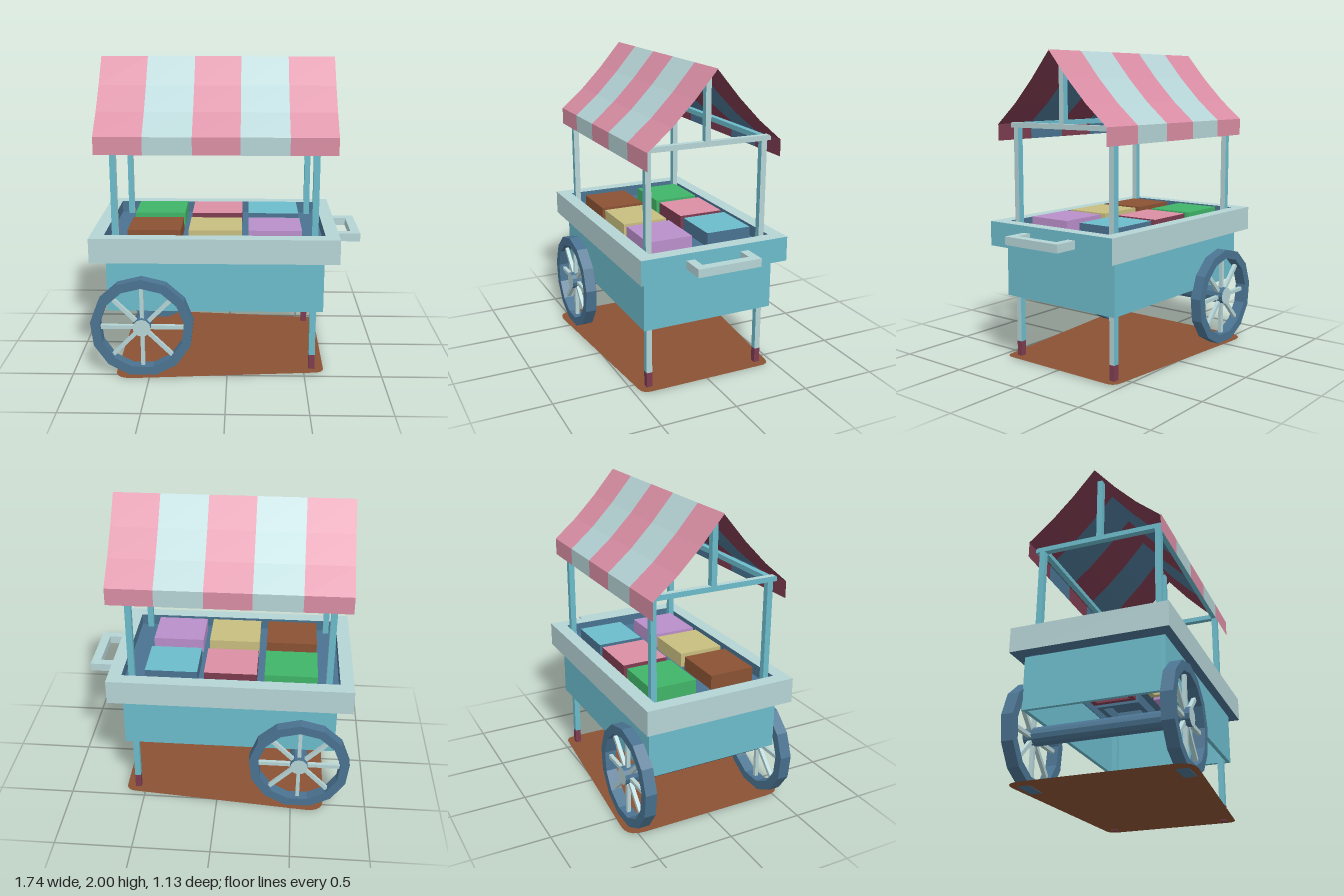
import * as THREE from 'three';

const mat = (name, color, side = THREE.FrontSide) => {
  const m = new THREE.MeshStandardMaterial({ color, side });
  m.name = name;
  return m;
};

export function createModel() {
  const pink = mat('pink', 0xda8ea4), pale = mat('pale aqua', 0xb6d4d6);
  const teal = mat('teal', 0x6cbccc), navy = mat('slate blue', 0x4a7391);
  const brown = mat('brown', 0x8a5233, THREE.DoubleSide), maroon = mat('maroon', 0x7d3c50);
  const green = mat('green', 0x40b568), yellow = mat('straw', 0xc8be80), violet = mat('violet', 0xba8fcb);

  const cart = new THREE.Group();
  cart.name = 'marketCart';
  const ZC = -0.006; // centre line of the cart in z

  const add = (name, geo, material, parent = cart) => {
    const m = new THREE.Mesh(geo, material);
    m.name = name;
    parent.add(m);
    return m;
  };
  // Box given by its limits; material may be an array (+x, -x, +y, -y, +z, -z)
  const box = (name, material, x0, x1, y0, y1, z0, z1, parent) => {
    const m = add(name, new THREE.BoxGeometry(x1 - x0, y1 - y0, z1 - z0), material, parent);
    m.position.set((x0 + x1) / 2, (y0 + y1) / 2, (z0 + z1) / 2);
    return m;
  };

  // Ground plate: tapered outline with rounded corners
  const corners = [[-0.72, 0.572], [0.63, 0.455], [0.63, -0.46], [-0.72, -0.578]].map(c => new THREE.Vector2(...c));
  const radii = [0.12, 0.06, 0.06, 0.12];
  const outline = new THREE.Shape();
  corners.forEach((c, i) => {
    const a = corners[(i + 3) % 4], b = corners[(i + 1) % 4];
    const p = c.clone().add(a.clone().sub(c).setLength(radii[i]));
    const q = c.clone().add(b.clone().sub(c).setLength(radii[i]));
    if (i) outline.lineTo(p.x, p.y); else outline.moveTo(p.x, p.y);
    outline.quadraticCurveTo(c.x, c.y, q.x, q.y);
  });
  outline.closePath();
  const plate = add('groundPlate', new THREE.ShapeGeometry(outline, 5), brown);
  plate.rotation.x = Math.PI / 2;
  plate.position.y = 0.006;

  // Body: four walls, open below
  box('bodyFront', teal, -0.77, 0.615, 0.42, 0.76, 0.412, 0.438);
  box('bodyBack', teal, -0.77, 0.615, 0.42, 0.76, -0.452, -0.426);
  box('bodyLeftEnd', teal, 0.589, 0.615, 0.42, 0.76, -0.426, 0.412);
  box('bodyRightEnd', teal, -0.77, -0.744, 0.42, 0.76, -0.426, 0.412);

  // Tray rim, dark inside and below
  const X0 = -0.867, X1 = 0.707, Z0 = -0.508, Z1 = 0.494, T = 0.088;
  box('rimFront', [teal, pale, pale, navy, pale, navy], X0, X1, 0.76, 0.92, Z1 - T, Z1);
  box('rimBack', [teal, pale, pale, navy, navy, pale], X0, X1, 0.76, 0.92, Z0, Z0 + T);
  box('rimLeftEnd', [teal, navy, pale, navy, pale, pale], X1 - T, X1, 0.76, 0.92, Z0 + T, Z1 - T);
  box('rimRightEnd', [navy, pale, pale, navy, pale, pale], X0, X0 + T, 0.76, 0.92, Z0 + T, Z1 - T);
  box('trayFloor', navy, X0 + T, X1 - T, 0.83, 0.842, Z0 + T, Z1 - T);

  // Goods crates: lid block above the tray floor, open rim below it
  const rows = [
    { z0: 0.045, z1: 0.347, tops: [brown, yellow, violet], sides: [brown, yellow, violet] },
    { z0: -0.37, z1: -0.063, tops: [green, pink, teal], sides: [green, maroon, navy] },
  ];
  rows.forEach(({ z0, z1, tops, sides }) => [-0.638, -0.248, 0.135].forEach((x0, i) => {
    const x1 = x0 + 0.34, s = sides[i], t = 0.035;
    const crate = new THREE.Group();
    crate.name = 'crate';
    cart.add(crate);
    box('crateTop', [s, s, tops[i], s, s, s], x0, x1, 0.836, 0.935, z0, z1, crate);
    box('crateRim', s, x0, x1, 0.76, 0.836, z0, z0 + t, crate);
    box('crateRim', s, x0, x1, 0.76, 0.836, z1 - t, z1, crate);
    box('crateRim', s, x0, x0 + t, 0.76, 0.836, z0 + t, z1 - t, crate);
    box('crateRim', s, x1 - t, x1, 0.76, 0.836, z0 + t, z1 - t, crate);
  }));

  // Push handle
  box('handleGrip', pale, 0.807, 0.866, 0.822, 0.875, -0.226, 0.2);
  box('handleArm', pale, 0.7, 0.807, 0.822, 0.875, -0.226, -0.17);
  box('handleArm', pale, 0.7, 0.807, 0.822, 0.875, 0.144, 0.2);

  // Posts, legs and roof frame
  const wood = [pale, teal, teal, teal, teal, teal];
  for (const s of [-1, 1]) {
    const z0 = ZC + s * 0.392 - 0.019, z1 = z0 + 0.038;
    box('frontLeg', wood, 0.533, 0.573, 0.105, 1.52, z0, z1);
    box('foot', maroon, 0.533, 0.573, 0, 0.105, z0, z1);
    box('rearPost', wood, -0.729, -0.69, 0.83, 1.52, z0, z1);
    box('roofRail', wood, -0.69, 0.533, 1.52, 1.553, z0, z1);
  }
  for (const x of [-0.729, 0.533]) {
    box('crossBeam', [pale, teal, pale, teal, teal, teal], x, x + 0.04, 1.52, 1.553, ZC - 0.44, ZC + 0.44);
    box('kingPost', wood, x, x + 0.04, 1.553, 1.975, ZC - 0.018, ZC + 0.018);
  }

  // Striped canopy: sagging slopes with hanging valances and a dark lining
  const half = [[0.444, 1.44], [0.444, 1.552], [0.29, 1.683], [0.146, 1.83]];
  const profile = [...half, [0, 2], ...half.map(([z, y]) => [-z, y]).reverse()];
  const ribbon = (x0, x1, lining) => {
    const pos = [];
    const inset = ([z, y]) => lining ? [z * 0.987, y === 1.44 ? y : y - 0.007] : [z, y];
    for (let i = 0; i < profile.length - 1; i++) {
      const [az, ay] = inset(profile[i]), [bz, by] = inset(profile[i + 1]);
      const a = [x0, ay, az], b = [x1, ay, az], c = [x1, by, bz], d = [x0, by, bz];
      pos.push(...(lining ? [a, c, b, a, d, c] : [a, b, c, a, c, d]).flat());
    }
    const g = new THREE.BufferGeometry();
    g.setAttribute('position', new THREE.Float32BufferAttribute(pos, 3));
    g.computeVertexNormals();
    return g.translate(0, 0, ZC);
  };
  const stripes = [-0.822, -0.521, -0.215, 0.082, 0.386, 0.683];
  for (let i = 0; i < 5; i++) {
    add('canopyStripe', ribbon(stripes[i], stripes[i + 1], false), i % 2 ? pale : pink);
    add('canopyLining', ribbon(stripes[i], stripes[i + 1], true), i % 2 ? navy : maroon);
  }

  // Wheels: thirteen-sided rims with eight spokes
  const ring = (P, r) => {
    for (let k = 0; k < 13; k++) {
      const a = Math.PI / 2 + k * 2 * Math.PI / 13;
      P[k ? 'lineTo' : 'moveTo'](r * Math.cos(a), r * Math.sin(a));
    }
    P.closePath();
    return P;
  };
  const rim = ring(new THREE.Shape(), 0.332);
  rim.holes.push(ring(new THREE.Path(), 0.272));
  const rimGeo = new THREE.ExtrudeGeometry(rim, { depth: 0.076, bevelEnabled: false }).translate(0, 0, -0.038);
  for (const s of [-1, 1]) {
    const wheel = new THREE.Group();
    wheel.name = 'wheel';
    wheel.position.set(-0.544, 0.326, ZC + s * 0.481);
    cart.add(wheel);
    add('wheelRim', rimGeo, navy, wheel);
    for (let k = 0; k < 4; k++) {
      const spoke = add('spokePair', new THREE.BoxGeometry(0.545, 0.025, 0.025), pale, wheel);
      spoke.rotation.z = k * Math.PI / 4;
    }
  }

  // Axle with pale hub ends
  const axleGeo = new THREE.CylinderGeometry(0.058, 0.058, 1.046, 12).toNonIndexed();
  axleGeo.computeVertexNormals();
  const axle = add('axle', axleGeo, [navy, pale, pale]);
  axle.rotation.x = Math.PI / 2;
  axle.position.set(-0.544, 0.332, ZC);

  return cart;
}
